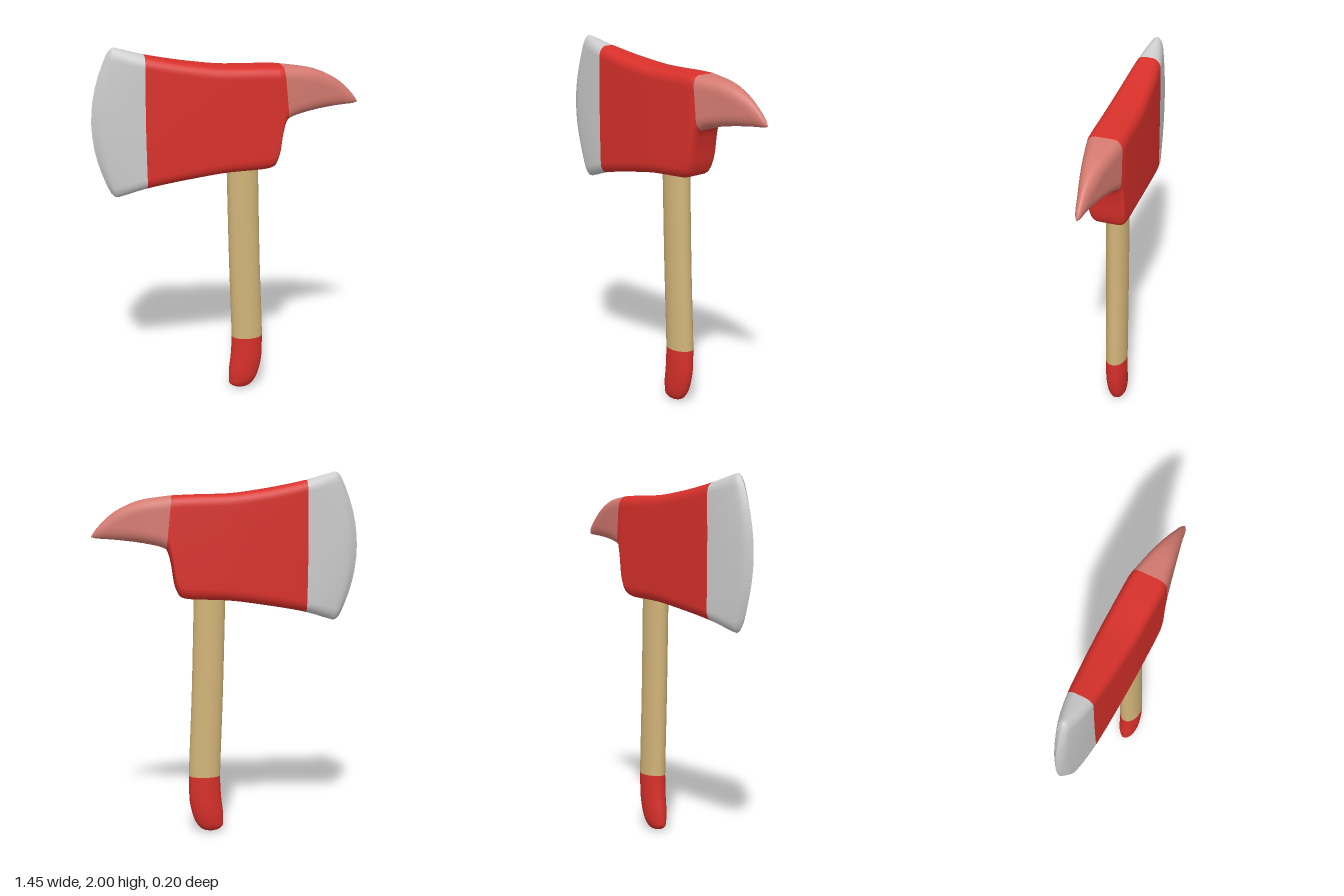
import * as THREE from 'three';

const STEPS = 6;

// Monotone cubic interpolation through rows of key values, STEPS rows per span
function smoothRows(keys) {
  const last = keys.length - 1;
  const delta = (i, c) => keys[i + 1][c] - keys[i][c];
  const slope = (i, c) => {
    if (i === 0) return delta(0, c);
    if (i === last) return delta(last - 1, c);
    const a = delta(i - 1, c), b = delta(i, c);
    return a * b <= 0 ? 0 : (2 * a * b) / (a + b);
  };
  const rows = [];
  for (let i = 0; i < last; i++) {
    for (let s = 0; s < STEPS; s++) {
      const t = s / STEPS, t2 = t * t, t3 = t2 * t;
      rows.push(keys[i].map((v, c) =>
        (2 * t3 - 3 * t2 + 1) * v + (t3 - 2 * t2 + t) * slope(i, c) +
        (3 * t2 - 2 * t3) * keys[i + 1][c] + (t3 - t2) * slope(i + 1, c)));
    }
  }
  rows.push(keys[last]);
  return rows;
}

// Skin closed rings; cut into named, coloured bands that share smooth normals
function loft(name, rings, bands) {
  const group = new THREE.Group();
  group.name = name;
  const n = rings[0].length;
  const strip = (from, to) => {
    const index = [];
    for (let i = from; i < to; i++) {
      for (let j = 0; j < n; j++) {
        const a = i * n + j, b = i * n + (j + 1) % n;
        index.push(a, b, a + n, b, b + n, a + n);
      }
    }
    return index;
  };
  const whole = new THREE.BufferGeometry();
  whole.setAttribute('position', new THREE.Float32BufferAttribute(rings.flat(2), 3));
  whole.setIndex(strip(0, rings.length - 1));
  whole.computeVertexNormals();
  for (const [part, color, from, to] of bands) {
    const geometry = whole.clone();
    geometry.setIndex(strip(from * STEPS, to * STEPS));
    const mesh = new THREE.Mesh(geometry, new THREE.MeshStandardMaterial({ color }));
    mesh.name = part;
    group.add(mesh);
  }
  return group;
}

// Rounded slice through the head; corners soften as it thins, the edge end bows out
function headRing([topX, topY, botX, botY, T]) {
  const H = topY - botY, ry = Math.min(0.06, H / 2);
  const rz = T * THREE.MathUtils.clamp(1.25 - 8 * T, 0.45, 1);
  const bow = Math.max(0, -0.43 - botX) * 0.475;
  const corner = [];
  for (let i = 0; i <= 6; i++) {
    const a = (i / 6) * Math.PI / 2;
    corner.push([ry * (1 - Math.cos(a)), T - rz + rz * Math.sin(a)]);
  }
  const half = [[topY, 0], ...corner.map(([d, z]) => [topY - d, z])];
  for (let i = 1; i < 10; i++) half.push([topY - ry - (H - 2 * ry) * i / 10, T]);
  half.push(...corner.reverse().map(([d, z]) => [botY + d, z]), [botY, 0]);
  const mirrored = half.slice(1, -1).reverse().map(([y, z]) => [y, -z]);
  return [...half, ...mirrored].map(([y, z]) => {
    const u = (y - botY) / H;
    return [botX + (topX - botX) * u - bow * 4 * u * (1 - u), y, z];
  });
}

// Oval slice through the handle
function handleRing([y, left, right, rz]) {
  const ring = [];
  for (let i = 0; i < 32; i++) {
    const a = (i / 32) * Math.PI * 2;
    ring.push([(left + right) / 2 + Math.cos(a) * (right - left) / 2, y, rz * Math.sin(a)]);
  }
  return ring;
}

export function createModel() {
  const model = new THREE.Group();
  model.name = 'fireAxe';
  const RED = 0xd8302a;

  // Head from edge to pick tip: top x, top y, bottom x, bottom y, half thickness
  const headKeys = [
    [-0.63, 1.975, -0.63, 1.21, 0],
    [-0.6, 1.998, -0.6, 1.188, 0.028],
    [-0.56, 1.988, -0.56, 1.198, 0.043],
    [-0.44, 1.953, -0.44, 1.235, 0.07],
    [-0.2, 1.905, -0.2, 1.28, 0.09],
    [0, 1.88, 0, 1.307, 0.099],
    [0.2, 1.875, 0.2, 1.316, 0.1],
    [0.24, 1.873, 0.25, 1.33, 0.1],
    [0.265, 1.872, 0.276, 1.385, 0.1],
    [0.282, 1.871, 0.295, 1.5, 0.098],
    [0.297, 1.87, 0.325, 1.585, 0.095],
    [0.45, 1.85, 0.45, 1.618, 0.067],
    [0.6, 1.786, 0.6, 1.636, 0.036],
    [0.7, 1.692, 0.7, 1.644, 0.015],
    [0.725, 1.656, 0.725, 1.65, 0],
  ];
  model.add(loft('head', smoothRows(headKeys).map(headRing), [
    ['cuttingEdge', 0xcccccc, 0, 3],
    ['headBody', RED, 3, 10],
    ['pick', 0xd47a70, 10, 14],
  ]));

  // Handle from the head down: y, left x, right x, half depth
  const handleKeys = [
    [1.36, 0, 0.173, 0.06],
    [0.8, 0.014, 0.187, 0.06],
    [0.32, 0.03, 0.205, 0.06],
    [0.2, 0.025, 0.203, 0.059],
    [0.1, 0.014, 0.185, 0.055],
    [0.04, 0.014, 0.158, 0.044],
    [0.012, 0.038, 0.128, 0.027],
    [0, 0.084, 0.086, 0.001],
  ];
  model.add(loft('handle', smoothRows(handleKeys).map(handleRing), [
    ['shaft', 0xd2b478, 0, 2],
    ['grip', RED, 2, 7],
  ]));
  return model;
}
